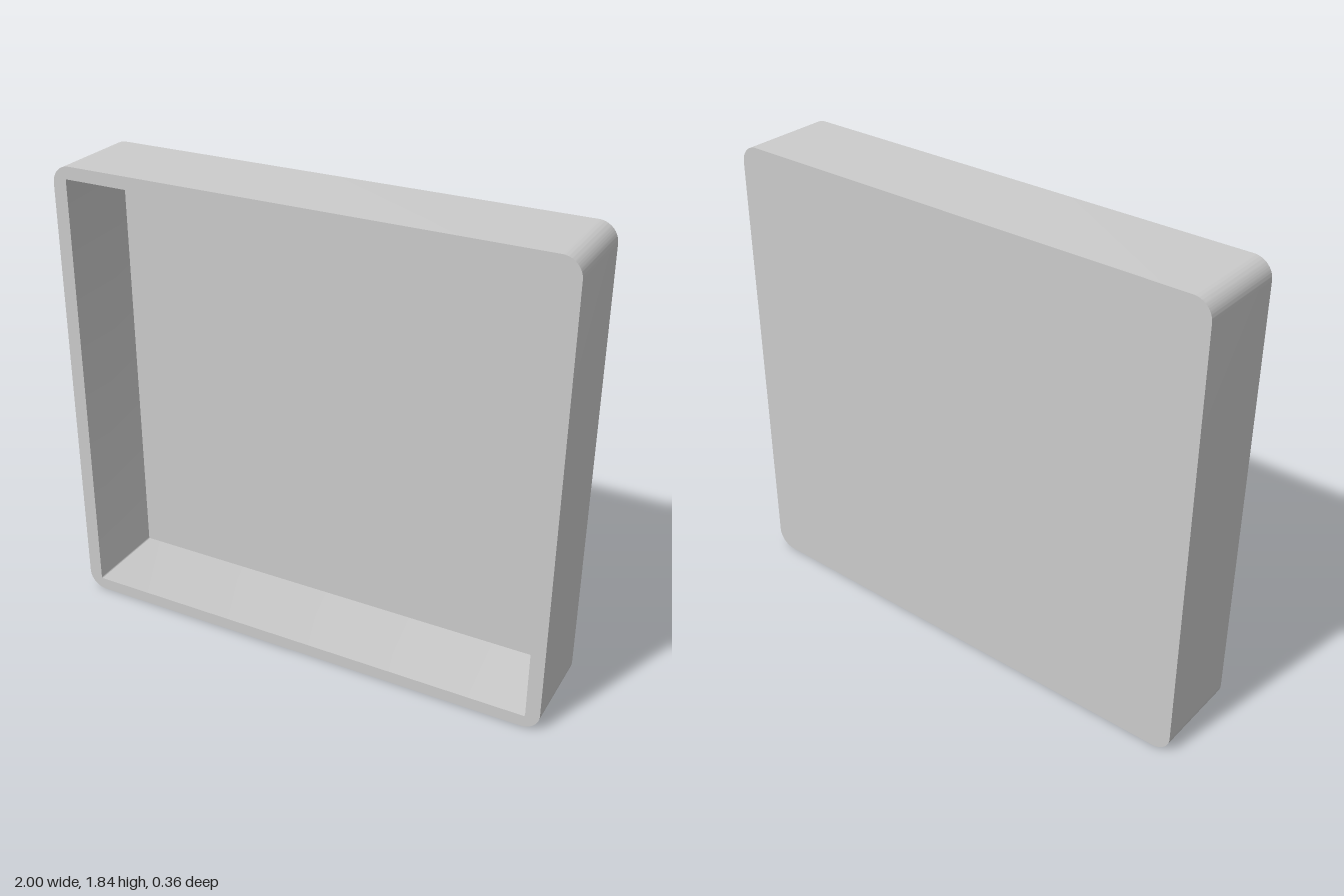
import * as THREE from 'three';
import { toCreasedNormals } from 'three/addons/utils/BufferGeometryUtils.js';

const HEIGHT = 1.836, DEPTH = 0.358, BACK = 0.006;

// Rounded rectangle centred on the origin, traced on a Shape or a Path
function roundedRect(path, w, h, r) {
  const x = w / 2 - r, y = h / 2 - r, q = Math.PI / 2;
  path.moveTo(x + r, -y);
  [[x, y], [-x, y], [-x, -y], [x, -y]].forEach(([cx, cy], i) =>
    path.absarc(cx, cy, r, i * q, (i + 1) * q, false));
  path.closePath();
  return path;
}

// Extrude a shape forward from z to z + depth
function slab(name, shape, z, depth, material) {
  const raw = new THREE.ExtrudeGeometry(shape, { depth, bevelEnabled: false, curveSegments: 14 });
  const mesh = new THREE.Mesh(toCreasedNormals(raw, 0.5), material);
  mesh.name = name;
  mesh.position.set(0, HEIGHT / 2, z);
  return mesh;
}

export function createModel() {
  const group = new THREE.Group();
  group.name = 'openTray';
  const material = new THREE.MeshStandardMaterial({ color: 0xcccccc });
  const outline = () => roundedRect(new THREE.Shape(), 2, HEIGHT, 0.072);

  // Thin back panel closing the tray
  group.add(slab('backPanel', outline(), -DEPTH / 2, BACK, material));

  // Deep surrounding wall, open at the front
  const wall = outline();
  wall.holes.push(roundedRect(new THREE.Path(), 1.888, 1.738, 0.006));
  group.add(slab('wall', wall, -DEPTH / 2 + BACK, DEPTH - BACK, material));

  return group;
}
